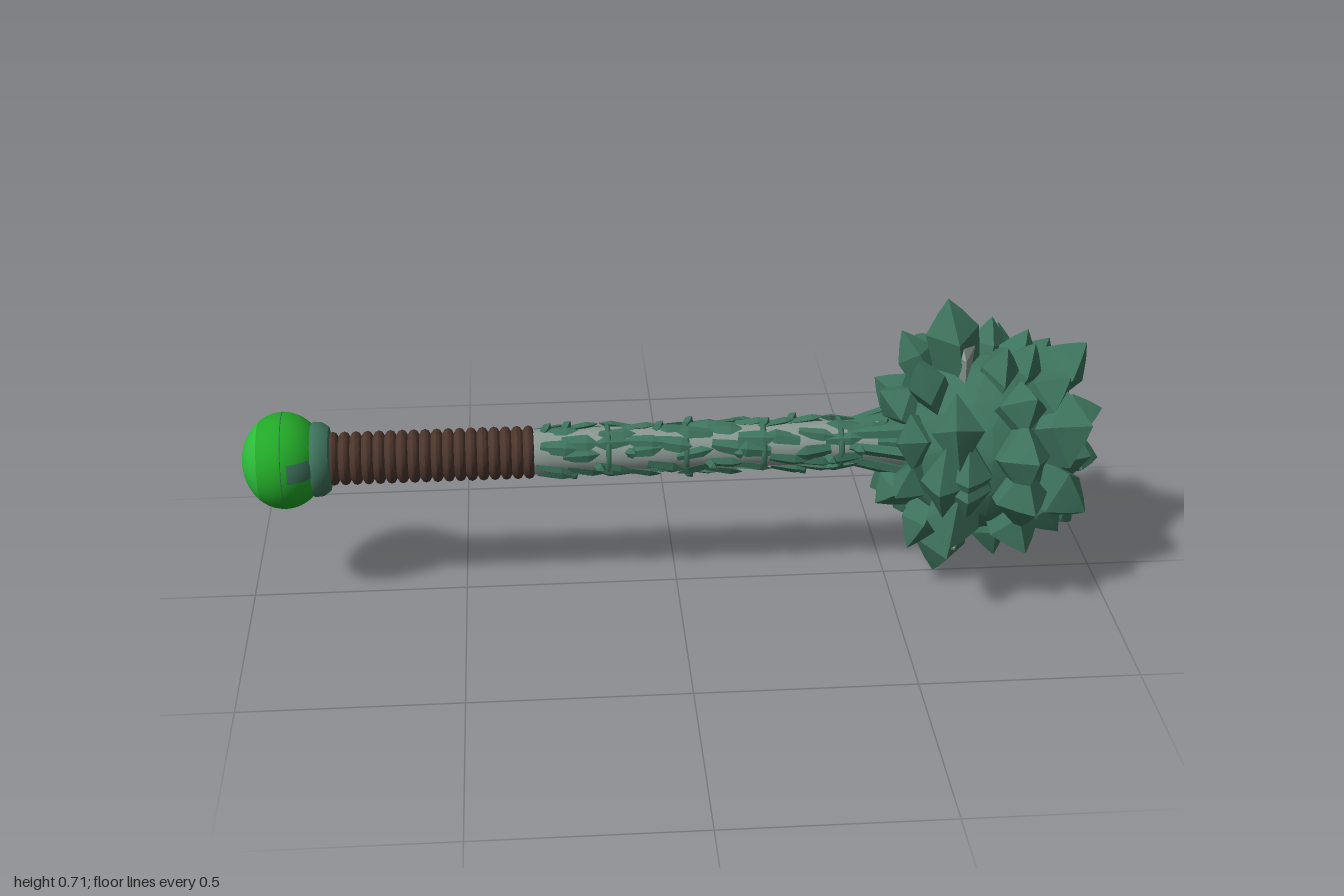
import * as THREE from 'three';
import { toCreasedNormals } from 'three/addons/utils/BufferGeometryUtils.js';

const mat = (name, color) => {
  const m = new THREE.MeshStandardMaterial({ color });
  m.name = name;
  return m;
};

export function createModel() {
  const green = mat('deep green', 0x3d725c);
  const grey = mat('grey wood', 0x8a9892);
  const brown = mat('brown leather', 0x4b352c);
  const bright = mat('bright green', 0x23a828);
  const light = mat('light green', 0x2cbc3a);

  const model = new THREE.Group();
  model.name = 'mace';
  const body = new THREE.Group();
  body.name = 'maceBody';
  body.position.y = 0.357;
  model.add(body);

  let seed = 7;
  const rnd = () => (seed = (seed * 16807) % 2147483647) / 2147483647;

  const add = (name, geo, material, parent = body) => {
    const m = new THREE.Mesh(geo, material);
    m.name = name;
    parent.add(m);
    return m;
  };
  // Turned part along x; points are [x, radius]
  const turned = (name, pts, material, sides = 24) => {
    const g = new THREE.LatheGeometry(pts.map(([x, r]) => new THREE.Vector2(r, x)), sides);
    g.rotateZ(-Math.PI / 2);
    return add(name, toCreasedNormals(g, 0.7), material);
  };

  // Pommel: main ball, lighter end cap and a dark patch on the front
  const ballPart = (name, geo, material) => {
    const m = add(name, geo, material);
    m.scale.set(0.096, 0.112, 0.112);
    m.position.x = -0.904;
  };
  const capAngle = 0.95;
  ballPart('pommel', new THREE.SphereGeometry(1, 32, 20, 0, Math.PI * 2, capAngle, Math.PI - capAngle)
    .rotateZ(Math.PI / 2), bright);
  ballPart('pommelCap', new THREE.SphereGeometry(1, 32, 10, 0, Math.PI * 2, 0, capAngle)
    .rotateZ(Math.PI / 2), light);
  ballPart('pommelPatch', new THREE.SphereGeometry(1.015, 10, 6, Math.PI / 2 + 0.15, 0.6,
    Math.PI / 2 - 0.35, 0.4), green);
  const seam = add('pommelSeam', new THREE.TorusGeometry(0.1115, 0.0012, 6, 40), green);
  seam.rotation.y = Math.PI / 2;
  seam.position.x = -0.904;
  turned('collar', [[-0.85, 0.05], [-0.85, 0.078], [-0.835, 0.087], [-0.815, 0.085],
    [-0.8, 0.074], [-0.795, 0.05]], green);

  // Ridged leather grip
  const ridges = 18, start = -0.805, step = 0.475 / ridges;
  const grip = [[start, 0]];
  for (let i = 0; i < ridges; i++) {
    const x = start + i * step;
    grip.push([x, 0.05], [x + step * 0.2, 0.059], [x + step * 0.5, 0.062], [x + step * 0.8, 0.059]);
  }
  grip.push([start + 0.475, 0.05], [start + 0.475, 0]);
  turned('grip', grip, brown);

  // Shaft that flares into the head
  turned('shaft', [[-0.335, 0], [-0.335, 0.053], [-0.3, 0.055], [0.1, 0.052], [0.4, 0.051],
    [0.5, 0.056], [0.6, 0.085]], grey, 14);

  // Four-sided leaf: grows along y, widest near its shoulder
  const leaf = toCreasedNormals(new THREE.LatheGeometry(
    [[0.7, 0], [0.9, 0.4], [1, 0.68], [0.46, 0.87], [0, 1]].map(p => new THREE.Vector2(...p)), 4), 0.45);
  const axis = new THREE.Vector3(1, 0, 0);
  const addLeaf = (name, parent, base, tip, width, thick, material = green) => {
    const dir = tip.clone().sub(base), length = dir.length();
    dir.normalize();
    // The width runs around the shaft
    const out = new THREE.Vector3(0, tip.y, tip.z);
    const side = axis.clone().cross(out).normalize();
    side.addScaledVector(dir, -side.dot(dir)).normalize();
    const m = add(name, leaf, material, parent);
    m.quaternion.setFromRotationMatrix(
      new THREE.Matrix4().makeBasis(side, dir, side.clone().cross(dir)));
    m.position.copy(base);
    m.scale.set(width, length, thick);
  };
  const polar = (x, r, a) => new THREE.Vector3(x, r * Math.cos(a), r * Math.sin(a));

  // Bark strips and small thorns over the shaft, with grey wood showing between
  const bark = new THREE.Group();
  bark.name = 'shaftBark';
  body.add(bark);
  for (let i = 0; i < 13; i++) {
    for (let j = 0; j < 8; j++) {
      const a = (j + (i % 2) / 2 + rnd() * 0.5) * Math.PI / 4;
      const x = -0.335 + i * 0.066 + rnd() * 0.025;
      const flip = rnd() < 0.35 && i > 1 ? -1 : 1;
      const x0 = flip > 0 ? x : x + 0.085;
      addLeaf('barkStrip', bark, polar(x0, 0.05, a),
        polar(x0 + flip * 0.085, 0.056 + rnd() * 0.009, a + (rnd() - 0.5) * 0.7),
        0.013 + rnd() * 0.009, 0.009);
      if ((i + j) % 4 === 0) {
        addLeaf('thorn', bark, polar(x, 0.045, a), polar(x + 0.02, 0.073, a), 0.013, 0.011);
      }
    }
  }
  for (const x of [-0.16, 0.02, 0.2, 0.38]) {
    const ring = add('shaftRing', new THREE.TorusGeometry(0.055, 0.007, 6, 20), green);
    ring.rotation.y = Math.PI / 2;
    ring.position.x = x;
  }
  // Roots gripping the head
  for (let i = 0; i < 9; i++) {
    const a = i * Math.PI * 2 / 9;
    addLeaf('root', bark, polar(0.4, 0.046, a), polar(0.6, 0.1, a + 0.2), 0.017, 0.012);
  }

  // Head core
  const core = add('headCore', toCreasedNormals(new THREE.IcosahedronGeometry(1, 2), 0.3), green);
  core.scale.set(0.19, 0.215, 0.215);
  core.position.x = 0.7;

  // Head spikes: tip x, y, z, half width, half thickness; mirrored in y and z
  const head = new THREE.Group();
  head.name = 'headSpikes';
  body.add(head);
  const spikes = [
    [0.62, 0.355, 0, 0.092, 0.062],
    [0.95, 0.235, 0, 0.092, 0.065],
    [1.0, 0.065, 0, 0.09, 0.055],
    [0.82, 0.255, 0.04, 0.06, 0.05],
    [0.745, 0.268, 0.09, 0.065, 0.045],
    [0.535, 0.235, 0.1, 0.07, 0.045],
    [0.79, 0.197, 0.215, 0.065, 0.06],
    [0.6, 0.15, 0.265, 0.09, 0.06],
    [0.565, 0, 0.292, 0.09, 0.055],
    [0.63, 0.02, 0.292, 0.09, 0.055],
    [0.79, 0.065, 0.28, 0.09, 0.065],
    [0.93, 0.11, 0.185, 0.09, 0.065],
    [0.95, 0, 0.12, 0.075, 0.055],
    [0.89, 0.2, 0.11, 0.065, 0.055],
    [0.465, 0.145, 0.04, 0.065, 0.05],
    [0.49, 0.07, 0.16, 0.065, 0.045],
  ];
  for (const [x, y, z, w, t] of spikes) {
    for (const sy of y ? [1, -1] : [1]) {
      for (const sz of z ? [1, -1] : [1]) {
        const tip = new THREE.Vector3(x, y * sy, z * sz);
        const base = new THREE.Vector3(0.69 + (x - 0.69) * 0.4, tip.y * 0.3, tip.z * 0.3);
        addLeaf('headSpike', head, base, tip, w, t);
      }
    }
  }
  // Pale inner faces of the tallest spikes
  for (const s of [1, -1]) {
    addLeaf('paleSpikeFace', head, new THREE.Vector3(0.655, s * 0.12, 0),
      new THREE.Vector3(0.645, s * 0.3, 0), 0.105, 0.045, grey);
  }
  return model;
}
